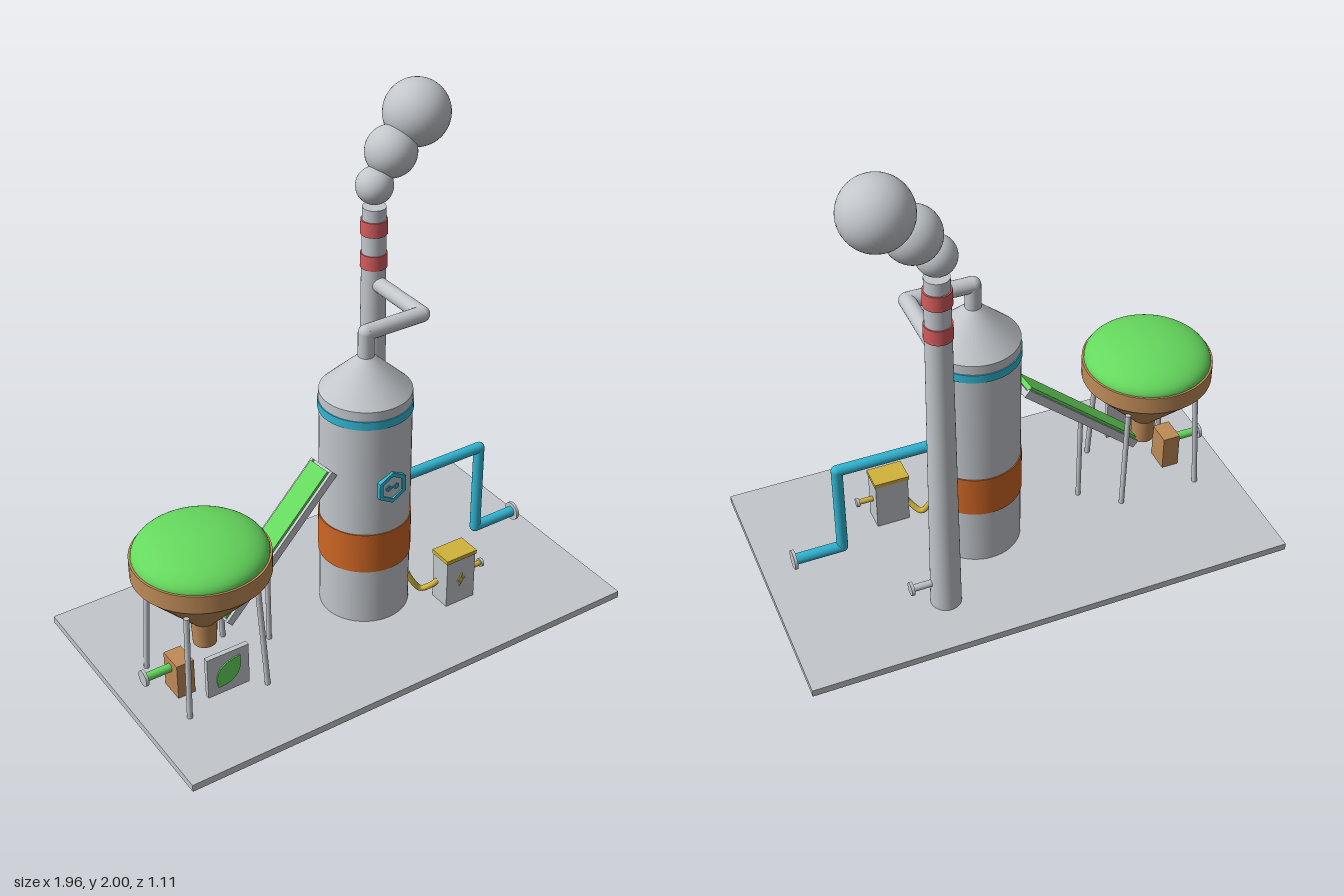
import * as THREE from 'three';

const mat = (name, color) => {
  const m = new THREE.MeshStandardMaterial({ color });
  m.name = name;
  return m;
};
const V = (x, y, z) => new THREE.Vector3(x, y, z);

export function createModel() {
  const model = new THREE.Group();
  model.name = 'biomassPlant';
  const grey = mat('steelGrey', 0xc3c7cc);
  const teal = mat('teal', 0x31b7d5);
  const green = mat('green', 0x66d95e);
  const brown = mat('brown', 0xbf8b58);
  const orange = mat('orange', 0xcf6624);
  const gold = mat('gold', 0xd2b33c);
  const red = mat('red', 0xd65c5e);

  // Helpers
  const add = (name, geo, material, x = 0, y = 0, z = 0, parent = model) => {
    const mesh = new THREE.Mesh(geo, material);
    mesh.name = name;
    mesh.position.set(x, y, z);
    parent.add(mesh);
    return mesh;
  };
  const box = (name, m, x0, x1, y0, y1, z0, z1, parent) =>
    add(name, new THREE.BoxGeometry(x1 - x0, y1 - y0, z1 - z0), m,
      (x0 + x1) / 2, (y0 + y1) / 2, (z0 + z1) / 2, parent);
  const upright = (name, m, rTop, rBottom, y0, y1, x, z, seg = 40) =>
    add(name, new THREE.CylinderGeometry(rTop, rBottom, y1 - y0, seg), m, x, (y0 + y1) / 2, z);
  const rod = (name, m, a, b, r) => {
    const d = b.clone().sub(a);
    const mesh = add(name, new THREE.CylinderGeometry(r, r, d.length(), 20), m);
    mesh.position.copy(a).lerp(b, 0.5);
    mesh.quaternion.setFromUnitVectors(V(0, 1, 0), d.normalize());
    return mesh;
  };
  // Straight pipe runs with ball joints at the corners
  const pipe = (name, m, pts, r) => pts.forEach((p, i) => {
    if (i < pts.length - 1) rod(name, m, p, pts[i + 1], r);
    if (i > 0 && i < pts.length - 1)
      add(name + 'Joint', new THREE.SphereGeometry(r, 20, 14), m, p.x, p.y, p.z);
  });
  const flange = (name, m, x, y, z, r) => rod(name, m, V(x - 0.006, y, z), V(x + 0.006, y, z), r);
  const shape = (pts) => new THREE.Shape(pts.map(([x, y]) => new THREE.Vector2(x, y)));
  const plate = (name, s, m, x, y, z, depth) =>
    add(name, new THREE.ExtrudeGeometry(s, { depth, bevelEnabled: false, curveSegments: 12 }), m, x, y, z);

  // Ground slab
  box('baseSlab', grey, -0.98, 0.98, 0, 0.03, -0.555, 0.555);

  // Reactor vessel with cone top and coloured bands
  const RX = 0.12;
  upright('reactorBody', grey, 0.177, 0.177, 0.03, 1.0, RX, 0, 48);
  upright('reactorCone', grey, 0.03, 0.177, 1.0, 1.14, RX, 0, 48);
  upright('reactorTealBand', teal, 0.181, 0.181, 0.925, 0.96, RX, 0, 48);
  upright('reactorOrangeBand', orange, 0.181, 0.181, 0.275, 0.45, RX, 0, 48);

  // Hexagonal plaque with a small two-node sign
  const hex = (r) => Array.from({ length: 6 }, (_, i) => {
    const a = Math.PI / 6 + i * Math.PI / 3;
    return [Math.cos(a) * r, Math.sin(a) * r];
  });
  plate('hexBacking', shape(hex(0.06)), grey, RX, 0.655, 0.168, 0.013);
  const ring = shape(hex(0.068));
  ring.holes.push(shape(hex(0.05)));
  plate('hexRing', ring, teal, RX, 0.655, 0.17, 0.017);
  for (const s of [-1, 1]) {
    const node = shape(hex(0.013));
    node.holes.push(shape(hex(0.006)));
    plate('hexNode', node, teal, RX + s * 0.017, 0.655, 0.18, 0.005);
  }
  box('hexLink', teal, RX - 0.007, RX + 0.007, 0.652, 0.658, 0.18, 0.185);

  // Exhaust pipe from reactor to chimney
  const SX = 0.37, SZ = -0.317;
  pipe('exhaustPipe', grey,
    [V(RX, 1.12, 0), V(RX, 1.235, 0), V(SX, 1.235, 0), V(SX, 1.235, SZ)], 0.031);

  // Chimney with red bands and outlet stub
  upright('chimney', grey, 0.046, 0.06, 0.03, 1.55, SX, SZ);
  for (const y of [1.3, 1.44]) upright('chimneyBand', red, 0.052, 0.053, y, y + 0.06, SX, SZ);
  rod('chimneyOutlet', grey, V(SX, 0.14, SZ), V(0.505, 0.14, SZ), 0.014);
  flange('chimneyOutletFlange', grey, 0.507, 0.14, SZ, 0.027);

  // Smoke puffs
  for (const [x, y, z, r] of [[0.37, 1.635, -0.317, 0.073], [0.452, 1.748, -0.33, 0.101], [0.577, 1.87, -0.345, 0.13]])
    add('smokePuff', new THREE.SphereGeometry(r, 40, 28), grey, x, y, z);

  // Teal product pipe
  pipe('productPipe', teal,
    [V(0.28, 0.53, 0), V(0.675, 0.53, 0), V(0.675, 0.14, 0), V(0.868, 0.14, 0)], 0.022);
  flange('productFlange', grey, 0.87, 0.14, 0, 0.039);

  // Generator cabinet, bolt sign, outlet and hose
  box('cabinetBody', grey, 0.345, 0.48, 0.03, 0.238, 0.158, 0.25);
  box('cabinetLid', gold, 0.341, 0.484, 0.238, 0.255, 0.154, 0.254);
  plate('boltSign', shape([[0.006, 0.03], [-0.019, -0.005], [-0.003, -0.005], [-0.008, -0.03], [0.019, 0.006], [0.003, 0.006]]),
    gold, 0.412, 0.14, 0.25, 0.005);
  rod('cabinetOutlet', gold, V(0.475, 0.14, 0.208), V(0.545, 0.14, 0.208), 0.011);
  flange('cabinetOutletFlange', grey, 0.543, 0.14, 0.208, 0.018);
  const hosePath = new THREE.CatmullRomCurve3([V(0.245, 0.16, 0.115), V(0.265, 0.115, 0.125),
    V(0.3, 0.07, 0.138), V(0.33, 0.09, 0.165), V(0.352, 0.12, 0.185)]);
  add('cabinetHose', new THREE.TubeGeometry(hosePath, 32, 0.012, 12), gold);

  // Hopper: rim, cone and neck, with heaped green top
  const HX = -0.65, HZ = 0.08;
  upright('hopperRim', brown, 0.26, 0.26, 0.535, 0.61, HX, HZ, 48);
  upright('hopperCone', brown, 0.26, 0.05, 0.305, 0.535, HX, HZ, 48);
  upright('hopperNeck', brown, 0.05, 0.045, 0.2, 0.305, HX, HZ, 32);
  add('hopperHeap', new THREE.SphereGeometry(0.252, 48, 16, 0, Math.PI * 2, 0, Math.PI / 2), green, HX, 0.61, HZ)
    .scale.y = 0.38;
  for (const sx of [-1, 1]) for (const sz of [-1, 1])
    rod('hopperLeg', grey, V(HX + sx * 0.167, 0.03, HZ + sz * 0.167), V(HX + sx * 0.148, 0.47, HZ + sz * 0.148), 0.011);

  // Leaf sign panel
  box('signPanel', grey, -0.74, -0.565, 0.088, 0.265, 0.235, 0.255);
  const leaf = new THREE.Shape();
  leaf.moveTo(-0.047, -0.055);
  leaf.bezierCurveTo(-0.065, 0.02, -0.03, 0.05, 0.047, 0.058);
  leaf.bezierCurveTo(0.06, -0.02, 0.02, -0.06, -0.047, -0.055);
  plate('leafSign', leaf, green, -0.651, 0.178, 0.255, 0.005);

  // Feed box and green inlet pipe
  box('feedBox', brown, -0.802, -0.73, 0.03, 0.18, 0.035, 0.135);
  rod('feedPipe', green, V(-0.8, 0.14, HZ), V(-0.91, 0.14, HZ), 0.017);
  flange('feedFlange', grey, -0.91, 0.14, HZ, 0.032);

  // Inclined conveyor: trough, side rails and belt, on a post
  const a = V(-0.565, 0.255, 0.047), b = V(-0.065, 0.715, -0.002);
  const len = a.distanceTo(b);
  const dir = b.clone().sub(a).normalize();
  const side = dir.clone().cross(V(0, 1, 0)).normalize();
  const conveyor = new THREE.Group();
  conveyor.name = 'conveyor';
  conveyor.quaternion.setFromRotationMatrix(
    new THREE.Matrix4().makeBasis(dir, side.clone().cross(dir), side));
  conveyor.position.copy(a).lerp(b, 0.5);
  model.add(conveyor);
  const h = len / 2;
  box('conveyorTrough', grey, -h, h, -0.018, 0.006, -0.062, 0.062, conveyor);
  for (const s of [-1, 1]) box('conveyorRail', grey, -h, h, -0.018, 0.016, s * 0.057 - 0.006, s * 0.057 + 0.006, conveyor);
  box('conveyorBelt', green, -h + 0.01, h - 0.01, 0.006, 0.026, -0.05, 0.05, conveyor);
  rod('conveyorPost', grey, V(-0.34, 0.03, 0.025), V(-0.34, 0.45, 0.025), 0.01);

  return model;
}
